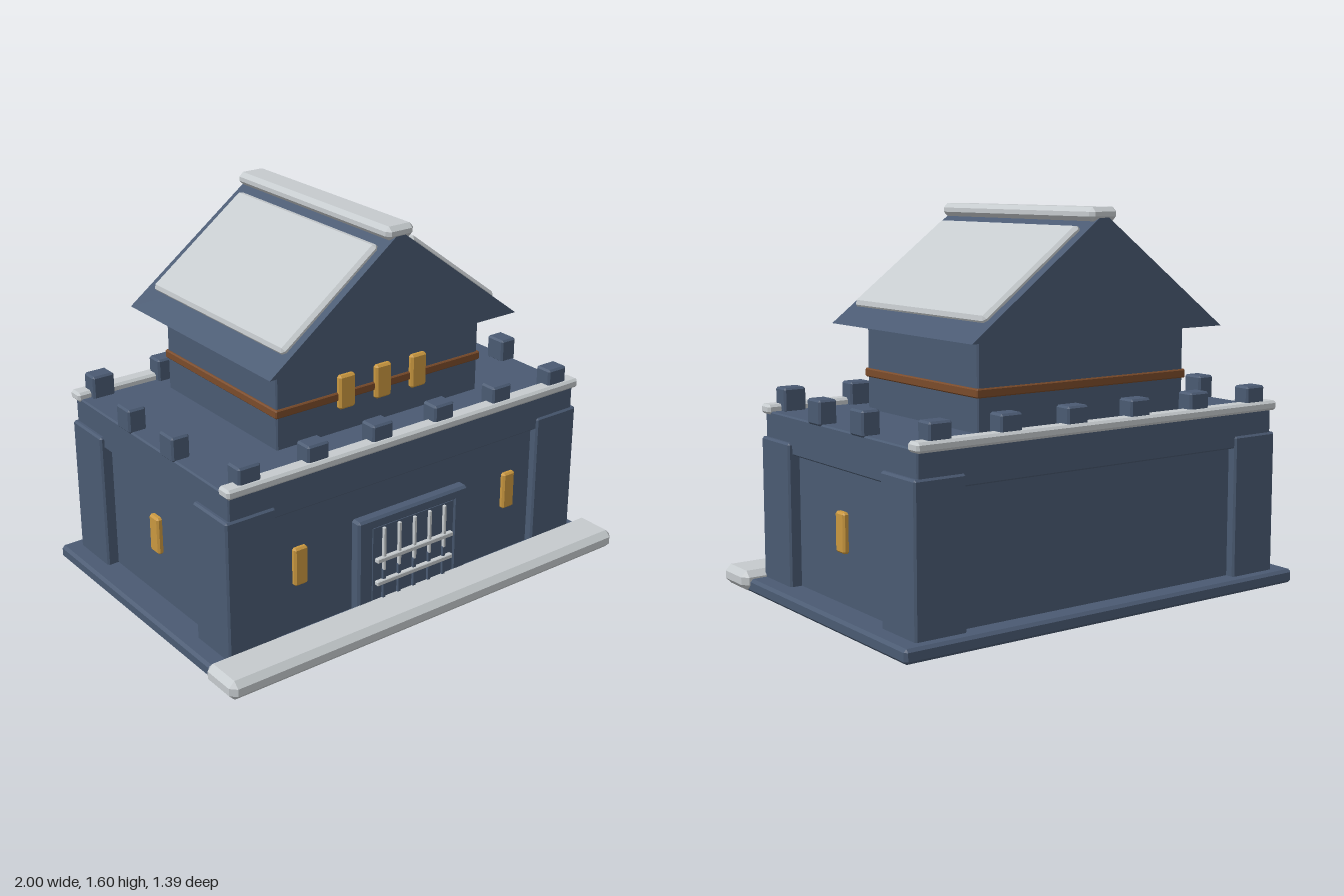
import * as THREE from 'three';
import { ConvexGeometry } from 'three/addons/geometries/ConvexGeometry.js';

const mat = (name, color, extra = {}) => Object.assign(new THREE.MeshStandardMaterial({ color }), { name }, extra);

// Box with chamfered edges, centred on the origin
function chamferBox(w, h, d, c) {
  const pts = [];
  for (const sx of [-1, 1]) for (const sy of [-1, 1]) for (const sz of [-1, 1]) {
    const x = w / 2, y = h / 2, z = d / 2;
    pts.push(new THREE.Vector3(sx * x, sy * (y - c), sz * (z - c)));
    pts.push(new THREE.Vector3(sx * (x - c), sy * y, sz * (z - c)));
    pts.push(new THREE.Vector3(sx * (x - c), sy * (y - c), sz * z));
  }
  return new ConvexGeometry(pts);
}

export function createModel() {
  const slate = mat('slate stone', 0x4a5a72);
  const pale = mat('pale stone', 0xc5cacd);
  const gold = mat('amber window', 0xc9973f);
  const wood = mat('brown timber', 0x7a4b2a);
  const model = new THREE.Group();
  model.name = 'gatehouse';

  // Adds a chamfered block given by its extents on each axis
  function block(name, material, [x0, x1], [y0, y1], [z0, z1], c = 0.006, parent = model) {
    const m = new THREE.Mesh(chamferBox(x1 - x0, y1 - y0, z1 - z0, c), material);
    m.position.set((x0 + x1) / 2, (y0 + y1) / 2, (z0 + z1) / 2);
    m.name = name;
    parent.add(m);
    return m;
  }
  const around = (c, w) => [c - w / 2, c + w / 2];

  // Plinth and front step
  block('plinth', slate, [-0.97, 0.97], [0, 0.058], [-0.695, 0.61], 0.012);
  block('frontStep', pale, [-1, 1], [0.008, 0.09], [0.505, 0.7], 0.025);

  // Lower hall: recessed walls, overhanging upper course, corner piers
  block('hallWalls', slate, [-0.845, 0.845], [0.05, 0.62], [-0.605, 0.485]);
  block('upperCourse', slate, [-0.877, 0.877], [0.6, 0.757], [-0.637, 0.515]);
  for (const s of [-1, 1]) {
    const px = s > 0 ? [0.67, 0.895] : [-0.895, -0.67];
    block('frontPier', slate, px, [0.05, 0.65], [0.292, 0.523], 0.008);
    block('backPier', slate, px, [0.05, 0.65], [-0.645, -0.412], 0.008);
    block('frontWindow', gold, around(s * 0.542, 0.064), [0.265, 0.43], [0.475, 0.505], 0.008);
    block('sideWindow', gold, around(s * 0.85, 0.035), [0.267, 0.43], around(-0.06, 0.066), 0.008);
  }

  // Gate: frame, leaf, uprights and pale grille
  const gate = new THREE.Group();
  gate.name = 'gate';
  model.add(gate);
  for (const s of [-1, 1]) {
    block('gateJamb', slate, around(s * 0.2465, 0.075), [0.05, 0.46], [0.47, 0.531], 0.01, gate);
  }
  block('gateLintel', slate, [-0.284, 0.284], [0.41, 0.46], [0.47, 0.531], 0.01, gate);
  block('gateLeaf', slate, [-0.212, 0.212], [0.05, 0.415], [0.47, 0.527], 0.003, gate);
  for (const x of [-0.157, -0.079, 0, 0.079, 0.157]) {
    block('gateUpright', slate, around(x, 0.016), [0.06, 0.22], [0.52, 0.538], 0.002, gate);
    block('grilleBar', pale, around(x, 0.013), [0.215, 0.407], [0.52, 0.54], 0.002, gate);
  }
  for (const y of [0.165, 0.268]) {
    block('grilleRail', pale, [-0.198, 0.198], around(y, 0.02), [0.52, 0.546], 0.003, gate);
  }

  // Parapet copings and merlons
  block('frontCoping', pale, [-0.89, 0.89], [0.745, 0.785], [0.465, 0.535], 0.01);
  block('backCoping', pale, [-0.89, 0.89], [0.745, 0.785], [-0.66, -0.59], 0.01);
  for (const x of [-0.78, -0.467, -0.156, 0.156, 0.467, 0.78]) {
    block('frontMerlon', slate, around(x, 0.1), [0.75, 0.852], around(0.478, 0.08), 0.008);
    block('backMerlon', slate, around(x, 0.1), [0.75, 0.852], around(-0.605, 0.08), 0.008);
  }
  for (const x of [-0.846, 0.846]) for (const z of [-0.228, 0.098]) {
    block('sideMerlon', slate, around(x, 0.08), [0.75, 0.852], around(z, 0.098), 0.008);
  }

  // Upper tower with timber band and three windows
  block('tower', slate, [-0.512, 0.512], [0.75, 1.13], [-0.488, 0.305]);
  block('timberBand', wood, [-0.521, 0.521], [0.892, 0.928], [-0.497, 0.314], 0.005);
  for (const x of [-0.182, 0, 0.182]) {
    block('towerWindow', gold, around(x, 0.08), [0.856, 1.0], [0.295, 0.326], 0.009);
  }

  // Gable roof prism
  const halfW = 0.615, eave = 1.11, apex = 1.572, zBack = -0.6, zFront = 0.415;
  const gable = new THREE.Shape([
    new THREE.Vector2(-halfW, eave), new THREE.Vector2(halfW, eave), new THREE.Vector2(0, apex),
  ]);
  const roof = new THREE.Mesh(
    new THREE.ExtrudeGeometry(gable, { depth: zFront - zBack, bevelEnabled: false }), slate);
  roof.position.z = zBack;
  roof.name = 'roof';
  model.add(roof);

  // Pale slabs lying on both slopes
  const pitch = Math.atan2(apex - eave, halfW);
  const midX = 0.302, midY = apex - midX * Math.tan(pitch);
  for (const s of [-1, 1]) {
    const slab = new THREE.Mesh(chamferBox(0.56, 0.04, 0.935, 0.014), pale);
    slab.position.set(s * midX, midY + 0.004, -0.088);
    slab.rotation.z = -s * pitch;
    slab.name = 'roofSlab';
    model.add(slab);
  }

  // Ridge cap
  block('ridgeCap', pale, [-0.067, 0.067], [1.542, 1.596], [-0.605, 0.42], 0.018);
  return model;
}
